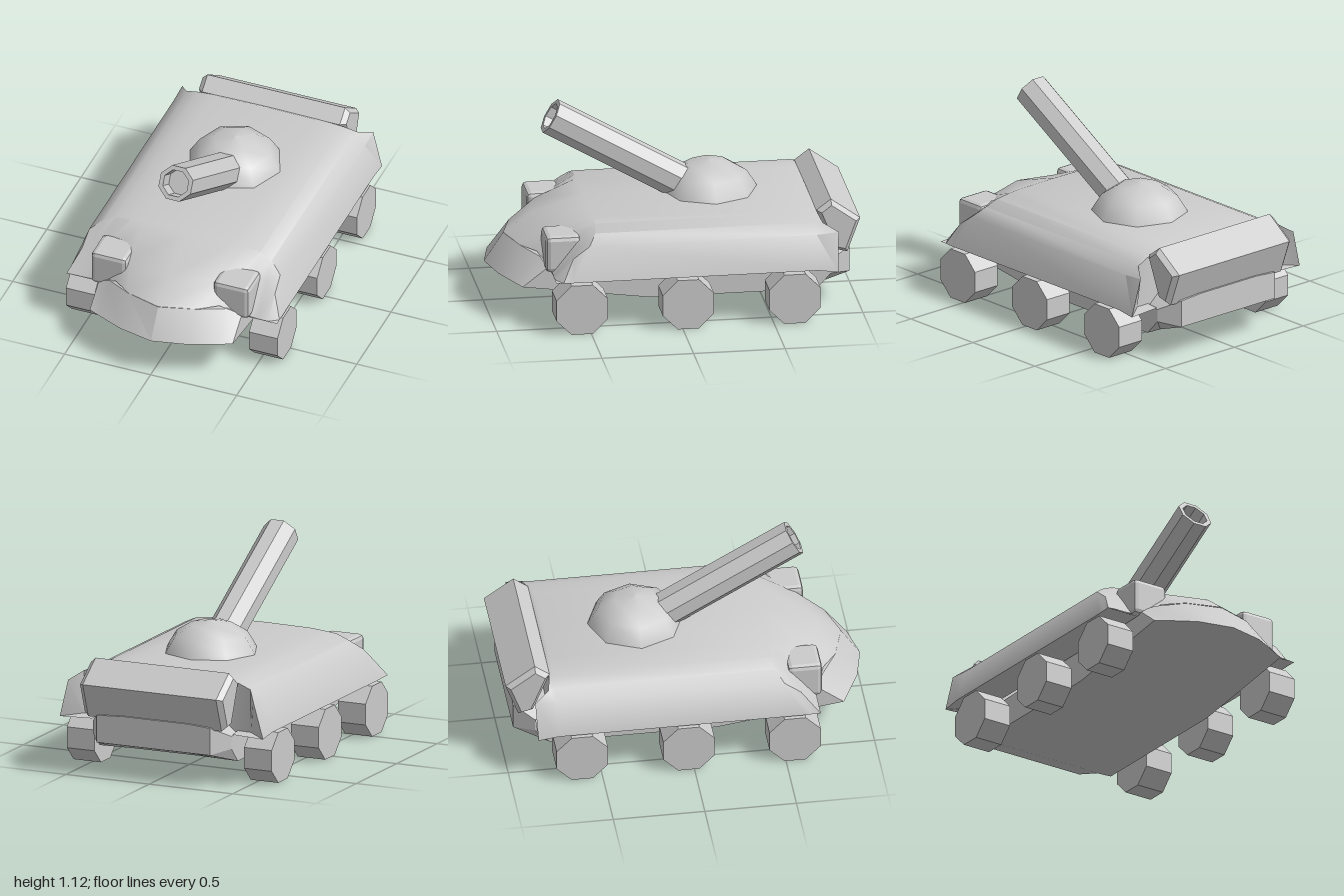
import * as THREE from 'three';
import { toCreasedNormals } from 'three/addons/utils/BufferGeometryUtils.js';
import { RoundedBoxGeometry } from 'three/addons/geometries/RoundedBoxGeometry.js';

const smooth = new THREE.MeshStandardMaterial({ color: 0xcccccc, side: THREE.DoubleSide });
const flat = new THREE.MeshStandardMaterial({ color: 0xcccccc, side: THREE.DoubleSide, flatShading: true });

// Surface through rows of points; closed joins each row into a ring and caps both ends
function skin(rows, closed, crease) {
  const n = rows[0].length, last = (rows.length - 1) * n, index = [];
  for (let r = 0; r < rows.length - 1; r++) {
    for (let c = 0; c < (closed ? n : n - 1); c++) {
      const a = r * n + c, b = r * n + (c + 1) % n;
      index.push(a, a + n, b, b, a + n, b + n);
    }
  }
  if (closed) {
    for (let i = 1; i < n - 1; i++) index.push(0, i, i + 1, last, last + i + 1, last + i);
  }
  const g = new THREE.BufferGeometry();
  g.setAttribute('position', new THREE.Float32BufferAttribute(rows.flat(2), 3));
  g.setIndex(index);
  return toCreasedNormals(g, crease);
}

// Mirrors half a row (from the centre out to +x) into a full row from -x to +x
const mirrorRow = (half) => [...half.slice(1).reverse().map(([x, y, z]) => [-x, y, z]), ...half];

export function createModel() {
  const model = new THREE.Group();
  const add = (name, geometry, material = smooth, x = 0, y = 0, z = 0) => {
    const mesh = new THREE.Mesh(geometry, material);
    mesh.name = name;
    mesh.position.set(x, y, z);
    model.add(mesh);
    return mesh;
  };

  // Upper hull: rounded roof, sloping hood and side skirts, from back to front
  const back = [[0, .575, -.76], [.26, .572, -.76], [.33, .57, -.76], [.42, .56, -.765],
    [.5, .535, -.78], [.555, .495, -.86], [.61, .285, -.85], [.42, .29, -.84]];
  const roof = [[0, .585], [.26, .582], [.33, .577], [.42, .567], [.49, .535], [.555, .485], [.61, .30], [.42, .30]];
  const roofEnd = [.45, .45, .45, .45, .46, .5, .6, .6];
  const hood = [[0, .49, .75], [.25, .485, .68], [.33, .48, .62], [.43, .48, .56],
    [.5, .46, .56], [.56, .42, .59], [.61, .302, .65], [.42, .30, .65]];
  const lip = [[0, .39, .89], [.2, .386, .83], [.3, .38, .75], [.45, .31, .69],
    [.5, .306, .69], [.56, .306, .69], [.612, .303, .69], [.42, .303, .69]];
  const hullRows = [
    back.map(([x]) => [Math.min(x, .5), .29, -.77]),
    back,
    roof.map(([x, y]) => [x, y, -.74]),
    roof.map(([x, y], i) => [x, y, roofEnd[i]]),
    hood, lip,
  ].map(mirrorRow);
  add('upperHull', skin(hullRows, false, .65));

  // Lower hull: side profiles (z, y) lofted across the width
  const profiles = [
    [0, [[.995, .23], [.89, .387], [-.95, .35], [-.95, .19], [-.78, .135], [.15, .135]]],
    [.2, [[.95, .23], [.83, .385], [-.95, .35], [-.95, .19], [-.78, .135], [.15, .135]]],
    [.34, [[.883, .224], [.74, .365], [-.95, .34], [-.95, .19], [-.78, .132], [.15, .132]]],
    [.415, [[.845, .22], [.71, .325], [-.84, .28], [-.84, .21], [-.76, .125], [.15, .125]]],
  ];
  const section = (side) => ([x, pts]) => pts.map(([z, y]) => [side * x, y, z]);
  const lowerRows = [...profiles.slice(1).reverse().map(section(-1)), ...profiles.map(section(1))];
  add('lowerHull', skin(lowerRows, true, .4));

  // Dome turret
  const dome = [[.265, .575], [.25, .605], [.205, .675], [.115, .73], [0, .75]]
    .map(([r, y]) => new THREE.Vector2(r, y));
  add('turret', new THREE.LatheGeometry(dome, 8), smooth, 0, 0, -.235);

  // Hollow eight-sided gun barrel, tilted up towards the front
  const base = new THREE.Vector3(0, .6, -.13), muzzle = new THREE.Vector3(0, 1.043, .632);
  const length = base.distanceTo(muzzle), R = .093 / Math.cos(Math.PI / 8);
  const bore = [[0, 0], [R, 0], [R, length], [.075, length], [.075, length - .1], [0, length - .1]]
    .map(([r, y]) => new THREE.Vector2(r, y));
  const barrel = add('gunBarrel', new THREE.LatheGeometry(bore, 8, Math.PI / 8), flat);
  barrel.position.copy(base);
  barrel.rotation.x = Math.atan2(muzzle.z - base.z, muzzle.y - base.y);

  // Headlights and wheels on both sides
  for (const [label, side] of [['left', 1], ['right', -1]]) {
    add(label + 'Headlight', new RoundedBoxGeometry(.21, .205, .19, 1, .025), flat, side * .355, .409, .628);
    [.55, -.03, -.612].forEach((z, i) => {
      const r = .14 / Math.cos(Math.PI / 8);
      const wheel = new THREE.CylinderGeometry(r, r, .165, 8).rotateY(Math.PI / 8).rotateZ(Math.PI / 2);
      add(label + 'Wheel' + (i + 1), wheel, flat, side * .532, .145, z);
    });
  }

  // Rear stowage roll: five-sided bar with chamfered ends
  const roll = new THREE.Shape([[.76, .57], [.84, .63], [1, .515], [.93, .325], [.85, .345]]
    .map(([z, y]) => new THREE.Vector2(z, y)));
  const rollGeometry = new THREE.ExtrudeGeometry(roll, {
    depth: .8, bevelEnabled: true, bevelThickness: .028, bevelSize: .022, bevelOffset: -.022, bevelSegments: 1,
  });
  rollGeometry.translate(0, 0, -.4).rotateY(Math.PI / 2);
  add('rearRoll', rollGeometry, flat);

  return model;
}
